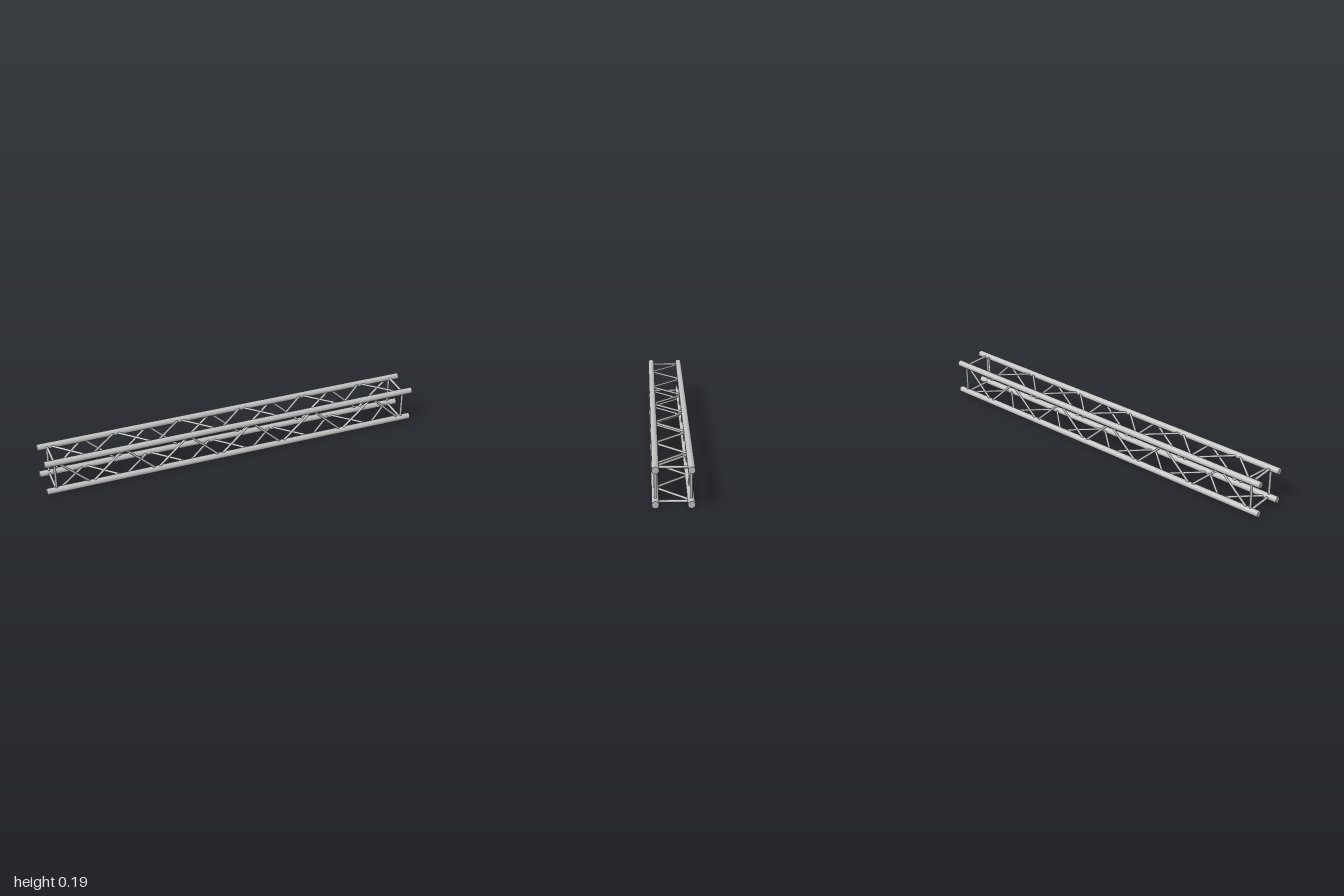
import * as THREE from 'three';

export function createModel() {
  const model = new THREE.Group();
  model.name = 'boxTruss';
  const aluminium = new THREE.MeshStandardMaterial({ color: 0xc0c0c0 });
  aluminium.name = 'aluminium';

  const chordRadius = 0.0165, half = 0.0805, midY = half + chordRadius;
  const UP = new THREE.Vector3(0, 1, 0);

  // Round tube between two points
  function tube(name, a, b, radius, sides, parent) {
    const dir = b.clone().sub(a);
    const mesh = new THREE.Mesh(new THREE.CylinderGeometry(radius, radius, dir.length(), sides), aluminium);
    mesh.name = name;
    mesh.position.copy(a).add(b).multiplyScalar(0.5);
    mesh.quaternion.setFromUnitVectors(UP, dir.normalize());
    parent.add(mesh);
  }

  // Corners in order round the section: top back, top front, bottom front, bottom back
  const corners = [[1, -1], [1, 1], [-1, 1], [-1, -1]];
  const at = (i, x) => {
    const [y, z] = corners[i % 4];
    return new THREE.Vector3(x, midY + y * half, z * half);
  };

  const faces = ['top', 'front', 'bottom', 'back'];
  const panels = 11, braceEnd = 0.938, strutX = 0.95;
  faces.forEach((face, i) => {
    // Main chord along the corner
    tube('chord', at(i, -1), at(i, 1), chordRadius, 24, model);

    const lacing = new THREE.Group();
    lacing.name = face + 'Lacing';
    // Square end struts
    for (const x of [-strutX, strutX]) tube('endStrut', at(i, x), at(i + 1, x), 0.0065, 12, lacing);
    // Zigzag diagonals, each face turned a quarter from the last
    const pitch = (2 * braceEnd) / panels;
    for (let p = 0; p < panels; p++) {
      const x = -braceEnd + p * pitch;
      tube('diagonal', at(i + (p % 2), x), at(i + 1 - (p % 2), x + pitch), 0.006, 12, lacing);
    }
    model.add(lacing);
  });
  return model;
}
